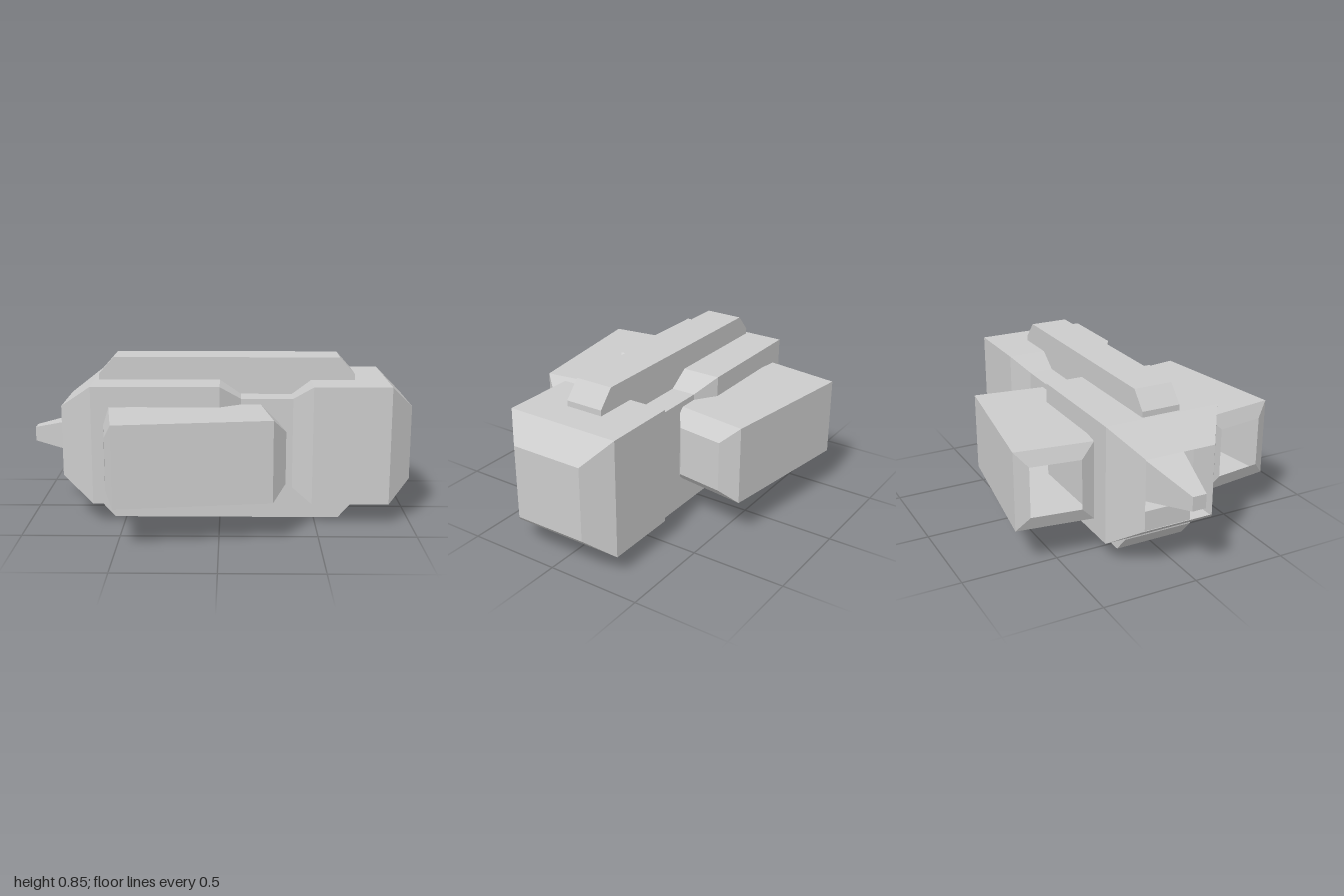
import * as THREE from 'three';

const material = new THREE.MeshStandardMaterial({
  color: 0xcccccc, flatShading: true, side: THREE.DoubleSide,
});

// Skin of rectangular sections along x: each is [x, bottom, top, halfDepth].
function loft(name, sections, { backCap = true, frontCap = true } = {}) {
  const positions = [];
  const quad = (a, b, c, d) => positions.push(...a, ...b, ...c, ...a, ...c, ...d);
  const rings = sections.map(([x, lo, hi, h]) => [
    [x, lo, h], [x, lo, -h], [x, hi, -h], [x, hi, h],
  ]);
  for (let i = 0; i < rings.length - 1; i++) {
    const r = rings[i], s = rings[i + 1];
    for (let j = 0; j < 4; j++) {
      const k = (j + 1) % 4;
      quad(r[j], r[k], s[k], s[j]);
    }
  }
  if (backCap) quad(...[...rings[0]].reverse());
  if (frontCap) quad(...rings[rings.length - 1]);
  const geometry = new THREE.BufferGeometry();
  geometry.setAttribute('position', new THREE.Float32BufferAttribute(positions, 3));
  geometry.computeVertexNormals();
  const mesh = new THREE.Mesh(geometry, material);
  mesh.name = name;
  return mesh;
}

export function createModel() {
  const model = new THREE.Group();
  model.name = 'spacecraft';

  // Hull with a narrow waist, bevelled nose and open stern
  model.add(loft('hull', [
    [-0.83, 0.23, 0.605, 0.19],
    [-0.66, 0.11, 0.73, 0.31],
    [0, 0.11, 0.73, 0.31],
    [0.11, 0.18, 0.655, 0.235],
    [0.38, 0.18, 0.655, 0.235],
    [0.48, 0.11, 0.73, 0.31],
    [0.88, 0.11, 0.73, 0.31],
    [1, 0.22, 0.61, 0.195],
  ], { backCap: false }));

  // Tapered spike rising out of the stern opening
  model.add(loft('tailSpike', [
    [-1, 0.38, 0.455, 0.037],
    [-0.5, 0.265, 0.57, 0.15],
  ]));

  // Spine and keel with bevelled ends
  model.add(loft('spine', [
    [-0.64, 0.62, 0.76, 0.103],
    [-0.56, 0.62, 0.85, 0.103],
    [0.63, 0.62, 0.85, 0.103],
    [0.71, 0.62, 0.76, 0.103],
  ]));
  model.add(loft('keel', [
    [-0.64, 0.09, 0.22, 0.19],
    [-0.56, 0, 0.22, 0.19],
    [0.63, 0, 0.22, 0.19],
    [0.71, 0.09, 0.22, 0.19],
  ]));

  // Side pods, toed in towards the nose, open at the back
  for (const side of [1, -1]) {
    const pod = new THREE.Group();
    pod.name = side > 0 ? 'leftPod' : 'rightPod';
    const shell = loft('podShell', [
      [-0.635, 0.285, 0.55, 0.13],
      [-0.606, 0.21, 0.625, 0.2],
      [0.177, 0.21, 0.625, 0.2],
      [0.253, 0.285, 0.55, 0.126],
    ], { backCap: false });
    shell.position.z = side * 0.441;
    pod.add(shell);
    pod.rotation.y = side * 0.141;
    model.add(pod);
  }

  return model;
}
